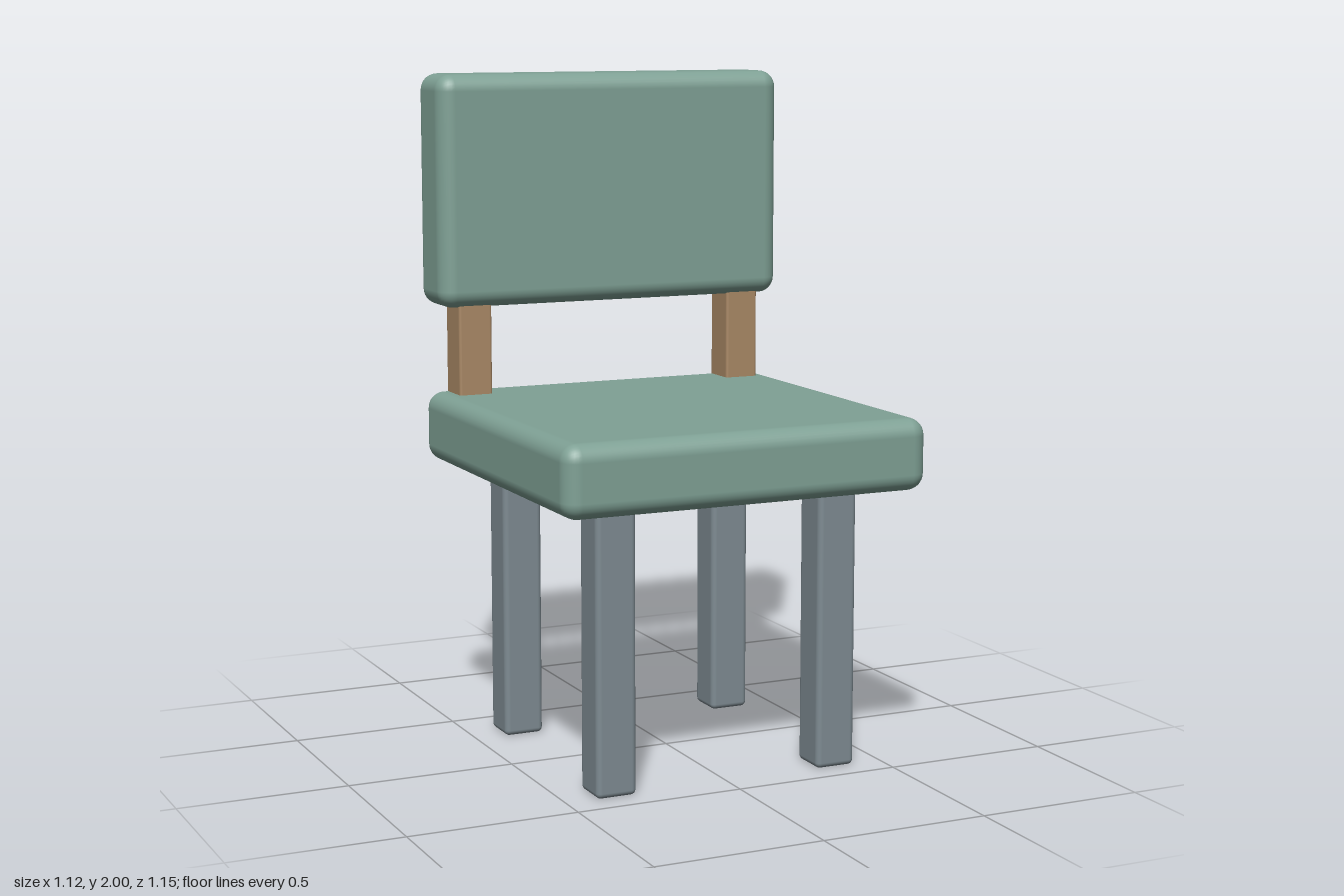
import * as THREE from 'three';
import { RoundedBoxGeometry } from 'three/addons/geometries/RoundedBoxGeometry.js';

export function createModel() {
  const chair = new THREE.Group();
  chair.name = 'chair';

  const material = (name, color) => {
    const m = new THREE.MeshStandardMaterial({ color });
    m.name = name;
    return m;
  };
  const cushionGreen = material('cushionGreen', 0x7fa195);
  const legGrey = material('legGrey', 0x7e8b92);
  const woodBrown = material('woodBrown', 0xaa8966);

  // Rounded block given by its size, bottom height and centre
  const block = (name, mat, [w, h, d], radius, x, bottom, z) => {
    const mesh = new THREE.Mesh(new RoundedBoxGeometry(w, h, d, 4, radius), mat);
    mesh.name = name;
    mesh.position.set(x, bottom + h / 2, z);
    chair.add(mesh);
  };

  // Padded seat and backrest
  block('seat', cushionGreen, [1.124, 0.21, 1.12], 0.05, 0, 0.83, 0.015);
  block('backrest', cushionGreen, [1.124, 0.695, 0.208], 0.05, 0, 1.305, -0.471);

  for (const [side, s] of [['left', 1], ['right', -1]]) {
    // Legs run a little way into the seat
    block(side + 'FrontLeg', legGrey, [0.122, 0.88, 0.122], 0.016, s * 0.349, 0, 0.366);
    block(side + 'BackLeg', legGrey, [0.122, 0.88, 0.122], 0.016, s * 0.349, 0, -0.333);

    // Posts joining the seat to the backrest
    block(side + 'BackPost', woodBrown, [0.105, 0.37, 0.113], 0.008, s * 0.447, 0.99, -0.451);
  }

  return chair;
}
